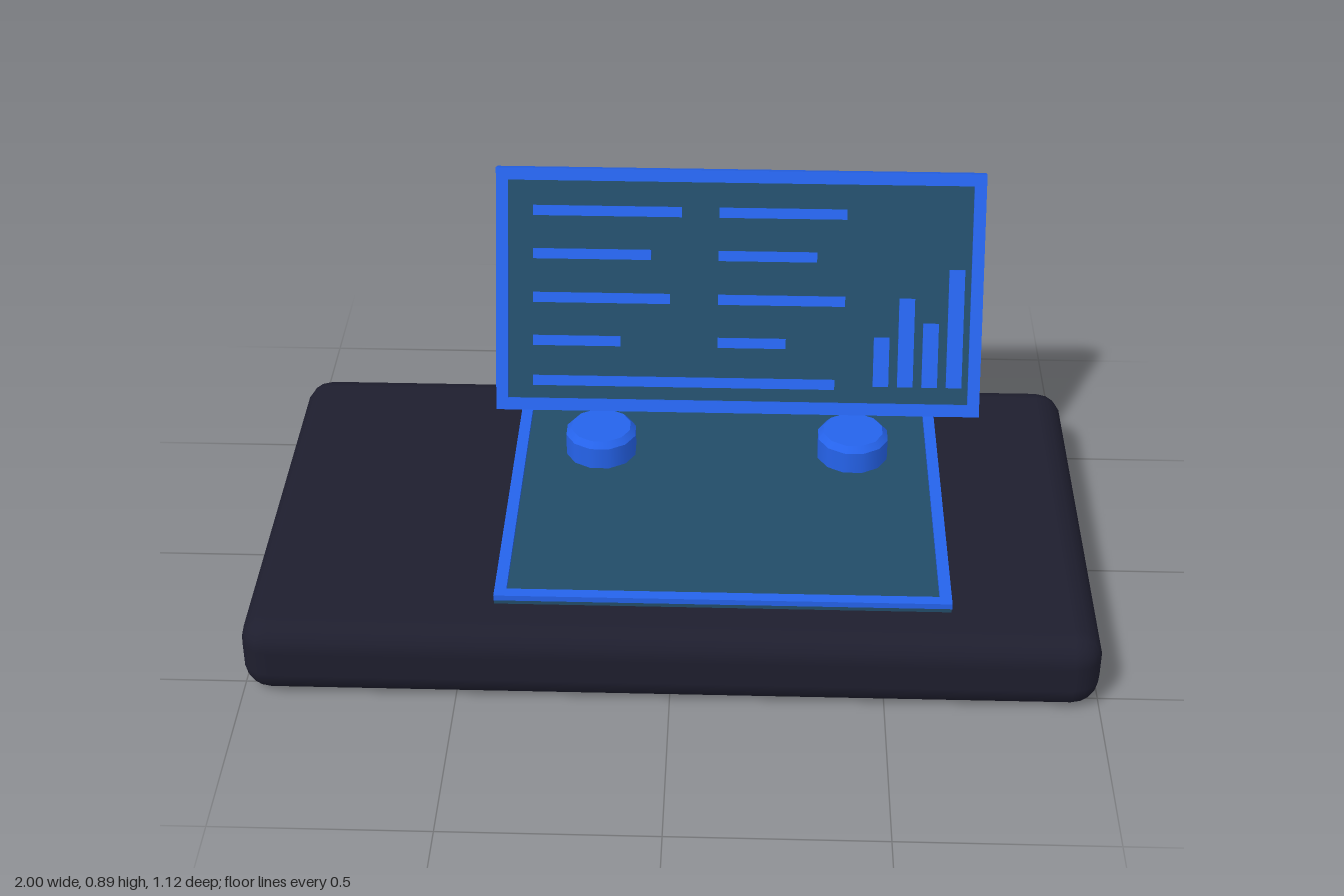
import * as THREE from 'three';
import { RoundedBoxGeometry } from 'three/addons/geometries/RoundedBoxGeometry.js';

const mat = (color) => new THREE.MeshStandardMaterial({ color });
const dark = mat(0x1e1e2e), blue = mat(0x2563eb), teal = mat(0x224c68);

function add(parent, name, geometry, material, x = 0, y = 0, z = 0) {
  const mesh = new THREE.Mesh(geometry, material);
  mesh.name = name;
  mesh.position.set(x, y, z);
  parent.add(mesh);
  return mesh;
}
const box = (w, h, d) => new THREE.BoxGeometry(w, h, d);

// Flat rectangular ring in the xy plane, centred on the origin in depth
function frameGeometry(w, h, border, depth) {
  const rect = (T, a, b) => new T([[-a, -b], [a, -b], [a, b], [-a, b]].map((p) => new THREE.Vector2(...p)));
  const shape = rect(THREE.Shape, w / 2, h / 2);
  shape.holes.push(rect(THREE.Path, w / 2 - border, h / 2 - border));
  return new THREE.ExtrudeGeometry(shape, { depth, bevelEnabled: false }).translate(0, 0, -depth / 2);
}

export function createModel() {
  const model = new THREE.Group();
  model.name = 'deskConsole';

  // Rounded slab
  add(model, 'base', new RoundedBoxGeometry(2, 0.197, 1.12, 2, 0.068), dark, 0, 0.0985, 0);

  // Pad lying on the slab, with a raised border
  const pad = new THREE.Group();
  pad.name = 'pad';
  pad.position.set(0.12, 0, 0);
  model.add(pad);
  add(pad, 'padSurface', box(1.064, 0.022, 0.876), teal, 0, 0.2, 0);
  add(pad, 'padFrame', frameGeometry(1.066, 0.878, 0.028, 0.014), blue, 0, 0.214, 0).rotation.x = -Math.PI / 2;

  // Round chamfered feet below the screen
  const profile = [[0.09, 0.2], [0.09, 0.268], [0.076, 0.283], [0, 0.283]];
  for (const [name, x] of [['rightFoot', -0.197], ['leftFoot', 0.438]]) {
    // Each band is a separate lathe so the chamfer edges stay sharp
    const foot = new THREE.Group();
    foot.name = name;
    foot.position.set(x, 0, -0.194);
    model.add(foot);
    ['side', 'chamfer', 'cap'].forEach((part, i) => {
      const points = profile.slice(i, i + 2).map((p) => new THREE.Vector2(...p));
      add(foot, part, new THREE.LatheGeometry(points, 12, Math.PI / 12), blue);
    });
  }

  // Screen leaning backwards
  const W = 1.214, H = 0.61, D = 0.04;
  const screen = new THREE.Group();
  screen.name = 'screen';
  screen.position.set(0.145, 0.596, -0.335);
  screen.rotation.x = -22 * Math.PI / 180;
  model.add(screen);
  add(screen, 'screenPanel', box(W - 0.002, H - 0.02, 0.024), teal);
  for (const s of [1, -1]) {
    add(screen, s > 0 ? 'frontFrame' : 'backFrame', frameGeometry(W, H, 0.03, 0.008), blue, 0, 0, s * (D / 2 - 0.004));
    add(screen, s > 0 ? 'topEdge' : 'bottomEdge', box(W, 0.012, D - 0.002), blue, 0, s * (H / 2 - 0.006), 0);
  }

  // Text lines and chart bars pass through the panel and show on both faces
  const strip = (name, x0, x1, y0, y1) =>
    add(screen, name, box(x1 - x0, y1 - y0, 0.036), blue, (x0 + x1) / 2 - 0.145, (y0 + y1) / 2, 0);
  const rows = [0.2, 0.092, -0.018, -0.127, -0.229];
  const columns = [[-0.37, [0, -0.075, -0.027, -0.15, 0.388]], [0.093, [0.41, 0.338, 0.41, 0.264]]];
  for (const [start, ends] of columns) {
    ends.forEach((end, i) => strip('textLine', start, end, rows[i] - 0.0125, rows[i] + 0.0125));
  }
  [-0.107, -0.008, -0.07, 0.066].forEach((top, i) => {
    const x = 0.484 + i * 0.061;
    strip('chartBar', x, x + 0.039, -0.232, top);
  });

  return model;
}
